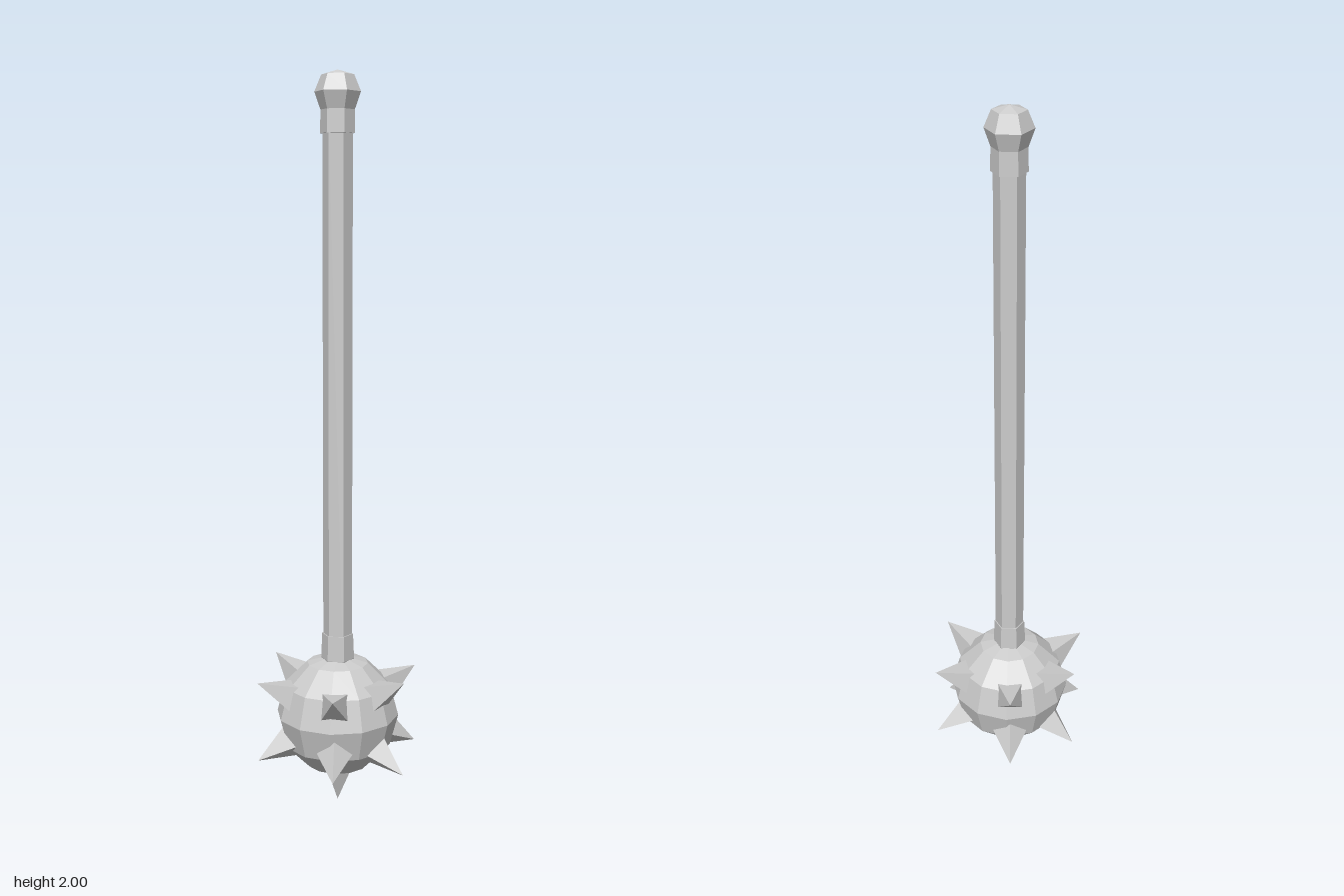
import * as THREE from 'three';

const material = new THREE.MeshStandardMaterial({ color: 0xcccccc, flatShading: true });
const BALL_Y = 0.26;
const BALL_R = 0.17;
const TIP = 0.258;  // distance from ball centre to spike tip
const BASE = 0.13;  // distance from ball centre to spike base

export function createModel() {
  const model = new THREE.Group();
  model.name = 'spikedMace';

  const add = (name, geometry, parent = model) => {
    const mesh = new THREE.Mesh(geometry, material);
    mesh.name = name;
    parent.add(mesh);
    return mesh;
  };

  // Six-sided turned part from [radius, height] pairs, bottom to top
  const hexLathe = (profile) =>
    new THREE.LatheGeometry(profile.map(([r, y]) => new THREE.Vector2(r, y)), 6);

  // Handle
  add('shaft', hexLathe([[0, 0.38], [0.04, 0.38], [0.04, 1.9], [0, 1.9]]));
  add('lowerCollar', hexLathe([[0.04, 0.4], [0.046, 0.42], [0.043, 0.49], [0.038, 0.49]]));
  add('pommel', hexLathe([
    [0.038, 1.84], [0.046, 1.84], [0.045, 1.9], [0.061, 1.945], [0.043, 1.988], [0, 2],
  ]));

  // Head
  const head = new THREE.Group();
  head.name = 'head';
  head.position.y = BALL_Y;
  model.add(head);
  add('ball', new THREE.SphereGeometry(BALL_R, 12, 6), head);

  // Four-sided spikes; the twist turns either a face or an edge upward
  const addSpike = (name, azimuth, elevation, twist) => {
    const geometry = new THREE.ConeGeometry(0.06, TIP - BASE, 4, 1, false, twist);
    geometry.translate(0, (TIP + BASE) / 2, 0);
    const spike = add(name, geometry, head);
    spike.rotation.order = 'YXZ';
    spike.rotation.set(0, azimuth, elevation - Math.PI / 2);
  };

  // Upper and lower rings of six, plus one at the bottom
  const diagonal = THREE.MathUtils.degToRad(56.4);
  const azimuths = [0, diagonal, Math.PI - diagonal, Math.PI, Math.PI + diagonal, -diagonal];
  azimuths.forEach((azimuth, i) => {
    const elevation = THREE.MathUtils.degToRad(i % 3 === 0 ? 30.5 : 25.6);
    addSpike('upperSpike' + (i + 1), azimuth, elevation, Math.PI / 4);
    addSpike('lowerSpike' + (i + 1), azimuth, -elevation, 0);
  });
  addSpike('bottomSpike', 0, -Math.PI / 2, 0);

  return model;
}
